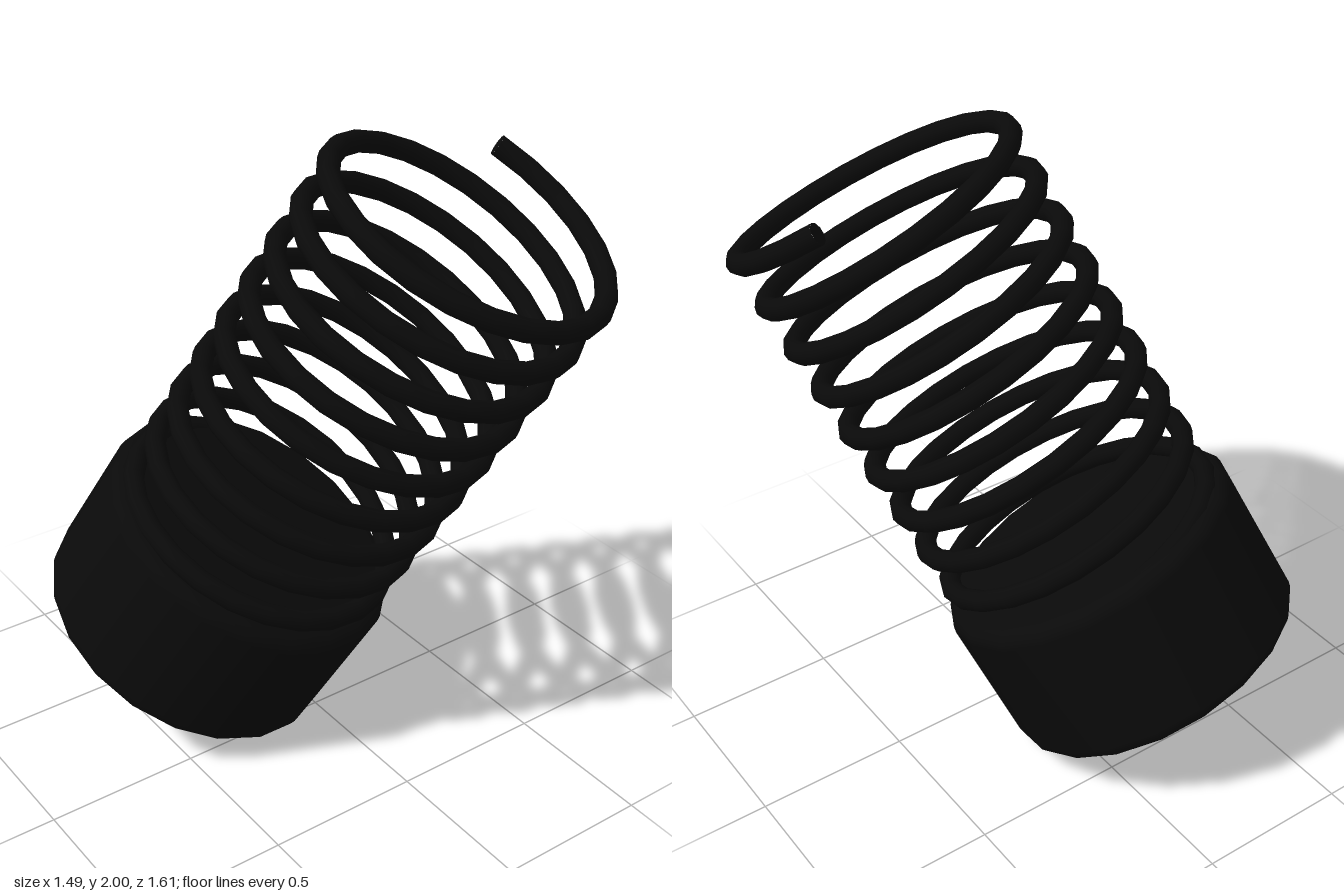
import * as THREE from 'three';

const BASE_RADIUS = 0.505, BASE_BOTTOM = -0.05, BASE_TOP = 0.47, BEVEL = 0.05;
const COIL_RADIUS = 0.44, WIRE_RADIUS = 0.034, PITCH = 0.155, TURNS = 9;
const COIL_END = 1.82, END_ANGLE = THREE.MathUtils.degToRad(8);

// Helix rising along local y, finishing at END_ANGLE
class Helix extends THREE.Curve {
  getPoint(s, target = new THREE.Vector3()) {
    const back = (1 - s) * TURNS;
    const a = END_ANGLE - back * Math.PI * 2;
    return target.set(COIL_RADIUS * Math.cos(a), COIL_END - back * PITCH, -COIL_RADIUS * Math.sin(a));
  }
}

// Solid drum profile with rounded rims, from bottom centre to top centre
function drumProfile() {
  const pts = [new THREE.Vector2(0, BASE_BOTTOM), new THREE.Vector2(BASE_RADIUS - BEVEL - 0.01, BASE_BOTTOM)];
  const rim = (cy, from) => {
    for (let i = 0; i <= 4; i++) {
      const a = from + (i / 4) * Math.PI / 2;
      pts.push(new THREE.Vector2(BASE_RADIUS - BEVEL + BEVEL * Math.cos(a), cy + BEVEL * Math.sin(a)));
    }
  };
  rim(BASE_BOTTOM + BEVEL, -Math.PI / 2);
  rim(BASE_TOP - BEVEL, 0);
  pts.push(new THREE.Vector2(BASE_RADIUS - BEVEL - 0.01, BASE_TOP), new THREE.Vector2(0, BASE_TOP));
  return pts;
}

export function createModel() {
  const black = new THREE.MeshStandardMaterial({ color: 0x0a0a0a });
  const spring = new THREE.Group();
  spring.name = 'tiltedSpring';
  const add = (name, geometry) => {
    const mesh = new THREE.Mesh(geometry, black);
    mesh.name = name;
    spring.add(mesh);
    return mesh;
  };

  // Round base
  add('base', new THREE.LatheGeometry(drumProfile(), 20));

  // Coiled wire
  const helix = new Helix();
  add('coil', new THREE.TubeGeometry(helix, TURNS * 24, WIRE_RADIUS, 10, false));

  // Flat end of the wire
  const tip = add('coilTip', new THREE.CircleGeometry(WIRE_RADIUS, 10));
  tip.position.copy(helix.getPoint(1));
  tip.quaternion.setFromUnitVectors(new THREE.Vector3(0, 0, 1), helix.getTangent(1));

  // Lean the whole spring towards the front left
  const axis = new THREE.Vector3(0.309, 0.86, 0.406).normalize();
  const side = new THREE.Vector3(axis.z, 0, -axis.x).normalize();
  const third = new THREE.Vector3().crossVectors(side, axis);
  spring.quaternion.setFromRotationMatrix(new THREE.Matrix4().makeBasis(side, axis, third));
  spring.position.set(-0.265, 0.28, -0.346);

  const model = new THREE.Group();
  model.name = 'spring';
  model.add(spring);
  return model;
}
